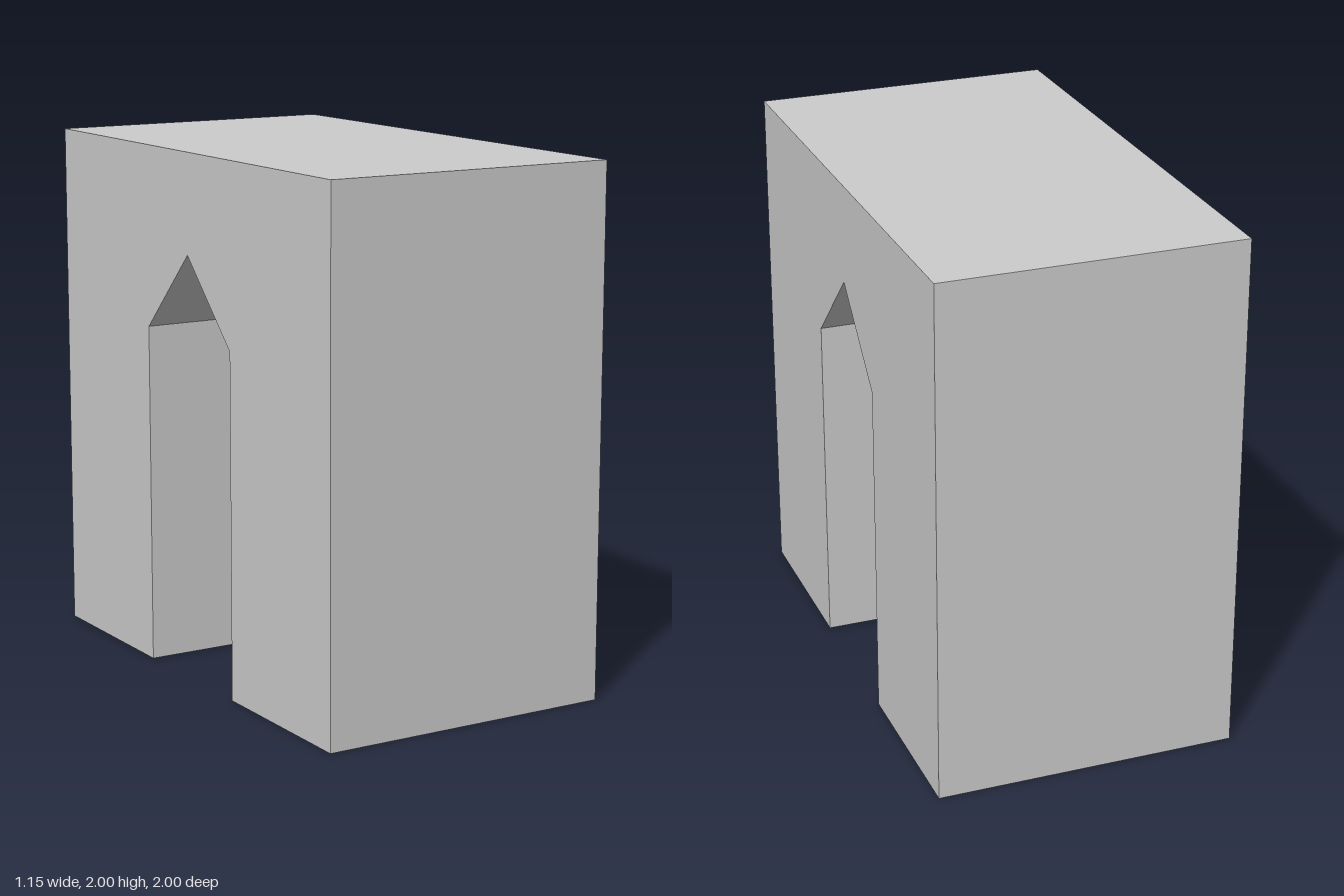
import * as THREE from 'three';

export function createModel() {
  const halfWidth = 0.575;  // along x
  const halfLength = 1;     // along z
  const height = 2;
  const halfGap = 0.31;     // half width of the passage
  const springY = 1.31;     // where the pointed head begins
  const apexY = 1.62;

  // Outline of the block with the pointed passage open at the ground
  const outline = new THREE.Shape([
    [-halfLength, 0], [-halfGap, 0], [-halfGap, springY], [0, apexY],
    [halfGap, springY], [halfGap, 0], [halfLength, 0],
    [halfLength, height], [-halfLength, height],
  ].map(([z, y]) => new THREE.Vector2(z, y)));

  // Extrude across the width, then turn the passage to run along x
  const geometry = new THREE.ExtrudeGeometry(outline, { depth: 2 * halfWidth, bevelEnabled: false });
  geometry.translate(0, 0, -halfWidth);
  geometry.rotateY(Math.PI / 2);

  const arch = new THREE.Mesh(
    geometry,
    new THREE.MeshStandardMaterial({ color: 0xcccccc, flatShading: true }),
  );
  arch.name = 'archBlock';

  const group = new THREE.Group();
  group.name = 'pointedArch';
  group.add(arch);
  return group;
}
